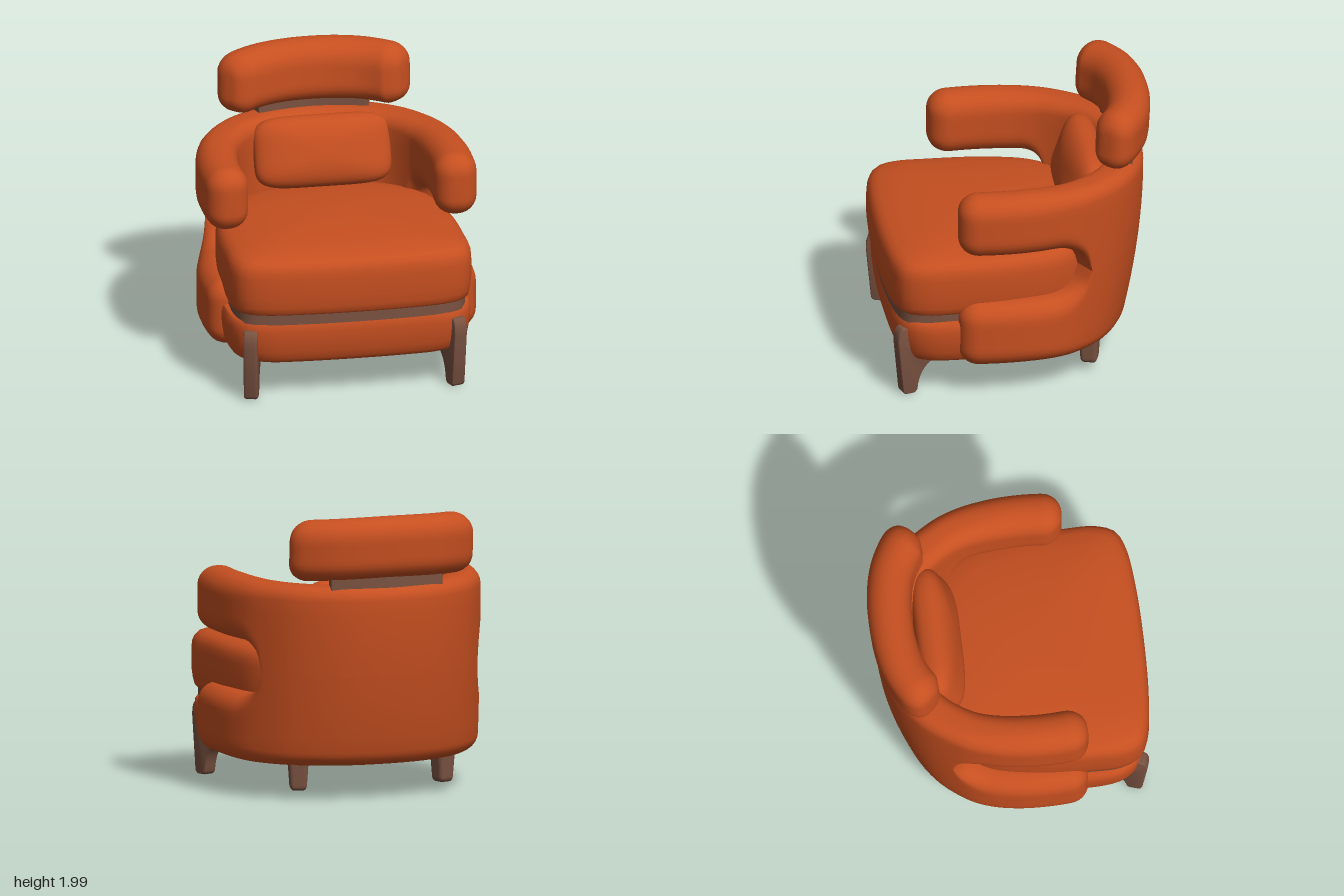
import * as THREE from 'three';
import { toCreasedNormals } from 'three/addons/utils/BufferGeometryUtils.js';
import { RoundedBoxGeometry } from 'three/addons/geometries/RoundedBoxGeometry.js';

const fabric = new THREE.MeshStandardMaterial({ name: 'rust fabric', color: 0xc64f20 });
const wood = new THREE.MeshStandardMaterial({ name: 'brown wood', color: 0x7a5241 });

// Skin a stack of closed rings (arrays of [x, y, z]) and cap both ends
function loft(rings) {
  const n = rings[0].length, index = [], last = (rings.length - 1) * n;
  for (let i = 0; i < rings.length - 1; i++) {
    for (let j = 0; j < n; j++) {
      const a = i * n + j, b = i * n + (j + 1) % n;
      index.push(a, a + n, b, b, a + n, b + n);
    }
  }
  for (let j = 1; j < n - 1; j++) index.push(0, j, j + 1, last, last + j + 1, last + j);
  const geo = new THREE.BufferGeometry();
  geo.setAttribute('position', new THREE.Float32BufferAttribute(rings.flat(2), 3));
  geo.setIndex(index);
  return toCreasedNormals(geo, 0.8);
}

// Rounded rectangle, counterclockwise: t wide, y0..y1 tall, r0/r1 bottom/top radii
function section({ t, y0, y1, r0, r1 }) {
  const pts = [], h = t / 2;
  const corner = (cx, cy, r, start) => {
    for (let k = 0; k <= 6; k++) {
      const a = start + k / 6 * Math.PI / 2;
      pts.push([cx + r * Math.cos(a), cy + r * Math.sin(a)]);
    }
  };
  const side = (x, from, to) => {
    for (let k = 1; k < 5; k++) pts.push([x, from + (to - from) * k / 5]);
  };
  corner(h - r0, y0 + r0, r0, -Math.PI / 2);
  side(h, y0 + r0, y1 - r1);
  corner(h - r1, y1 - r1, r1, 0);
  corner(-h + r1, y1 - r1, r1, Math.PI / 2);
  side(-h, y1 - r1, y0 + r0);
  corner(-h + r0, y0 + r0, r0, Math.PI);
  return pts;
}

// Sweep a section along a mirrored plan path [x, z], rounding both ends by endR
function sweep(half, profile, endR, steps, adjustZ = (z) => z) {
  const all = [...half, ...half.slice(0, -1).reverse().map(([x, z]) => [-x, z])];
  const curve = new THREE.CatmullRomCurve3(all.map(([x, z]) => new THREE.Vector3(x, 0, z)), false, 'centripetal');
  curve.arcLengthDivisions = 600;
  const L = curve.getLength(), dist = [];
  for (let k = 0; k < 8; k++) dist.push(endR * (1 - Math.cos(k / 8 * Math.PI / 2)));
  for (let k = 0; k <= steps; k++) dist.push(endR + (L - 2 * endR) * k / steps);
  for (let k = 7; k >= 0; k--) dist.push(L - dist[k]);
  return loft(dist.map((d) => {
    const p = curve.getPointAt(d / L), tan = curve.getTangentAt(d / L);
    const u = Math.max(0, 1 - Math.min(d, L - d) / endR);
    const e = endR * 0.95 * (1 - Math.sqrt(Math.max(0, 1 - u * u)));
    const s = profile(p);
    const inset = {
      t: s.t - 2 * e, y0: s.y0 + e, y1: s.y1 - e,
      r0: Math.max(Math.min(s.r0, 0.002), s.r0 - e), r1: Math.max(Math.min(s.r1, 0.002), s.r1 - e),
    };
    return section(inset).map(([a, y]) => [p.x - tan.z * a, y, adjustZ(p.z + tan.x * a, y)]);
  }));
}

// Pad made of scaled copies of one plan outline; layers run top to bottom as [scale, y]
function pad(half, layers) {
  const mirror = half.slice(1, -1).reverse().map(([x, z]) => [-x, z]);
  const curve = new THREE.CatmullRomCurve3(
    [...half, ...mirror].map(([x, z]) => new THREE.Vector3(x, 0, z)), true, 'centripetal');
  const plan = curve.getSpacedPoints(96).slice(0, -1);
  return loft(layers.map(([s, y]) => plan.map((p) => [p.x * s, y, 0.15 + (p.z - 0.15) * s])));
}

export function createModel() {
  const chair = new THREE.Group();
  chair.name = 'armchair';
  const add = (name, geo, mat) => {
    const mesh = new THREE.Mesh(geo, mat);
    mesh.name = name;
    chair.add(mesh);
    return mesh;
  };

  // Wraparound shell: two bands which merge at the back and part into plumper arms
  const shellPath = [[0.79, 0.475], [0.808, 0.2], [0.8, 0], [0.768, -0.2], [0.71, -0.36], [0.55, -0.58],
    [0.3, -0.73], [0, -0.775]];
  const gap = (z) => {
    const u = Math.min(1, Math.max(0, (-0.16 - z) / 0.24));
    return Math.sqrt(1 - Math.pow(u, 2.4));
  };
  const arm = (z) => THREE.MathUtils.smoothstep(z, -0.5, 0.1);
  const taper = (z, y) => (z < 0 ? z * (1 - 0.17 * Math.pow(Math.max(0, 1.4 - y) / 1.15, 1.9)) : z);
  add('upperShellAndArms', sweep(shellPath, (p) => {
    const g = gap(p.z), a = arm(p.z);
    return { t: 0.27 + 0.03 * a, y0: 0.89 + 0.2 * g, y1: 1.52 + 0.015 * a, r0: 0.135 * g, r1: 0.1 + 0.038 * a };
  }, 0.14, 240, taper), fabric);
  add('lowerShellAndArms', sweep(shellPath, (p) => {
    const g = gap(p.z), a = arm(p.z);
    return { t: 0.27 + 0.02 * a, y0: 0.25, y1: 0.89 - 0.165 * g, r0: 0.1 + 0.035 * a, r1: 0.135 * g };
  }, 0.14, 240, taper), fabric);

  // Seat: upholstered base, wooden frame line, crowned cushion
  const seatPlan = [[0, 0.955], [0.4, 0.943], [0.66, 0.91], [0.79, 0.85], [0.845, 0.72], [0.85, 0.5],
    [0.83, 0.1], [0.74, -0.25], [0.5, -0.5], [0, -0.62]];
  add('seatCushion', pad(seatPlan, [[0.03, 1.098], [0.2, 1.096], [0.4, 1.088], [0.6, 1.074], [0.78, 1.055],
    [0.9, 1.033], [0.95, 1.015], [0.98, 0.985], [0.995, 0.95], [1, 0.9], [1, 0.76], [0.99, 0.69],
    [0.98, 0.65], [0.965, 0.635], [0.94, 0.63]]), fabric);
  add('seatFrame', pad(seatPlan, [[0.955, 0.65], [0.955, 0.56]]), wood);
  const basePlan = [[0, 0.92], [0.4, 0.91], [0.64, 0.885], [0.77, 0.82], [0.84, 0.7], [0.86, 0.5],
    [0.84, 0.1], [0.74, -0.25], [0.5, -0.5], [0, -0.62]];
  add('seatBase', pad(basePlan, [[0.94, 0.58], [0.98, 0.572], [0.995, 0.55], [1, 0.5], [0.995, 0.43],
    [0.98, 0.35], [0.96, 0.3], [0.94, 0.275], [0.91, 0.262]]), fabric);

  // Curved headrest on a wooden bracket
  add('headrest', sweep([[0.615, -0.575], [0.54, -0.65], [0.37, -0.745], [0.18, -0.79], [0, -0.8]], (p) => {
    const c = 1 - (p.x / 0.62) ** 2;
    return { t: 0.3, y0: 1.55 + 0.02 * c, y1: 1.975 + 0.025 * c, r0: 0.13, r1: 0.148 };
  }, 0.13, 40, (z, y) => z - 0.06 * (y - 1.77)), fabric);
  add('headrestBracket', sweep([[0.4, -0.73], [0.2, -0.78], [0, -0.8]],
    () => ({ t: 0.12, y0: 1.48, y1: 1.62, r0: 0.01, r1: 0.01 }), 0.01, 24), wood);

  // Soft back pillow: a sphere swollen into a cushion
  const pillowGeo = new THREE.SphereGeometry(1, 64, 40).rotateX(Math.PI / 2);
  const pos = pillowGeo.attributes.position;
  for (let i = 0; i < pos.count; i++) {
    const v = new THREE.Vector3().fromBufferAttribute(pos, i);
    const flat = Math.pow(Math.abs(v.x) ** 5 + Math.abs(v.y) ** 5, 1 / 5);
    v.divideScalar(Math.pow(flat ** 2.4 + Math.abs(v.z) ** 2.4, 1 / 2.4));
    pos.setXYZ(i, v.x * 0.48, v.y * 0.25, v.z * 0.14);
  }
  pillowGeo.deleteAttribute('uv');
  const pillow = add('backPillow', toCreasedNormals(pillowGeo, 1.2), fabric);
  pillow.position.set(0.02, 1.295, -0.47);
  pillow.rotation.x = -0.33;

  // Front legs: post with a curved bracket running under the base
  const legShape = new THREE.Shape();
  legShape.moveTo(0.085, 0.505);
  legShape.quadraticCurveTo(0.115, 0.48, 0.11, 0.4);
  legShape.lineTo(0.075, 0.04);
  legShape.quadraticCurveTo(0.07, 0.022, 0.055, 0.02);
  legShape.lineTo(0.005, 0.02);
  legShape.quadraticCurveTo(-0.01, 0.022, -0.015, 0.04);
  legShape.quadraticCurveTo(-0.04, 0.24, -0.2, 0.265);
  legShape.lineTo(-0.2, 0.3);
  legShape.lineTo(0, 0.34);
  legShape.lineTo(0.03, 0.505);
  const frontLegGeo = toCreasedNormals(new THREE.ExtrudeGeometry(legShape, {
    depth: 0.06, bevelThickness: 0.018, bevelSize: 0.012, bevelSegments: 3, curveSegments: 10,
  }).translate(0, 0, -0.03).rotateY(-Math.PI / 2), 0.6);

  // Back legs: short tapered blocks
  const backLegGeo = new RoundedBoxGeometry(0.15, 0.26, 0.15, 3, 0.035);
  const bp = backLegGeo.attributes.position;
  for (let i = 0; i < bp.count; i++) {
    const k = 0.87 + 0.9 * bp.getY(i);
    bp.setX(i, bp.getX(i) * k);
    bp.setZ(i, bp.getZ(i) * k);
  }
  backLegGeo.computeVertexNormals();

  for (const s of [1, -1]) {
    const front = add(s > 0 ? 'frontLegLeft' : 'frontLegRight', frontLegGeo, wood);
    front.position.set(s * 0.705, 0, 0.785);
    front.rotation.y = s * 0.3;
    const back = add(s > 0 ? 'backLegLeft' : 'backLegRight', backLegGeo, wood);
    back.position.set(s * 0.535, 0.2, -0.475);
    back.rotation.y = s * -0.3;
  }
  return chair;
}
